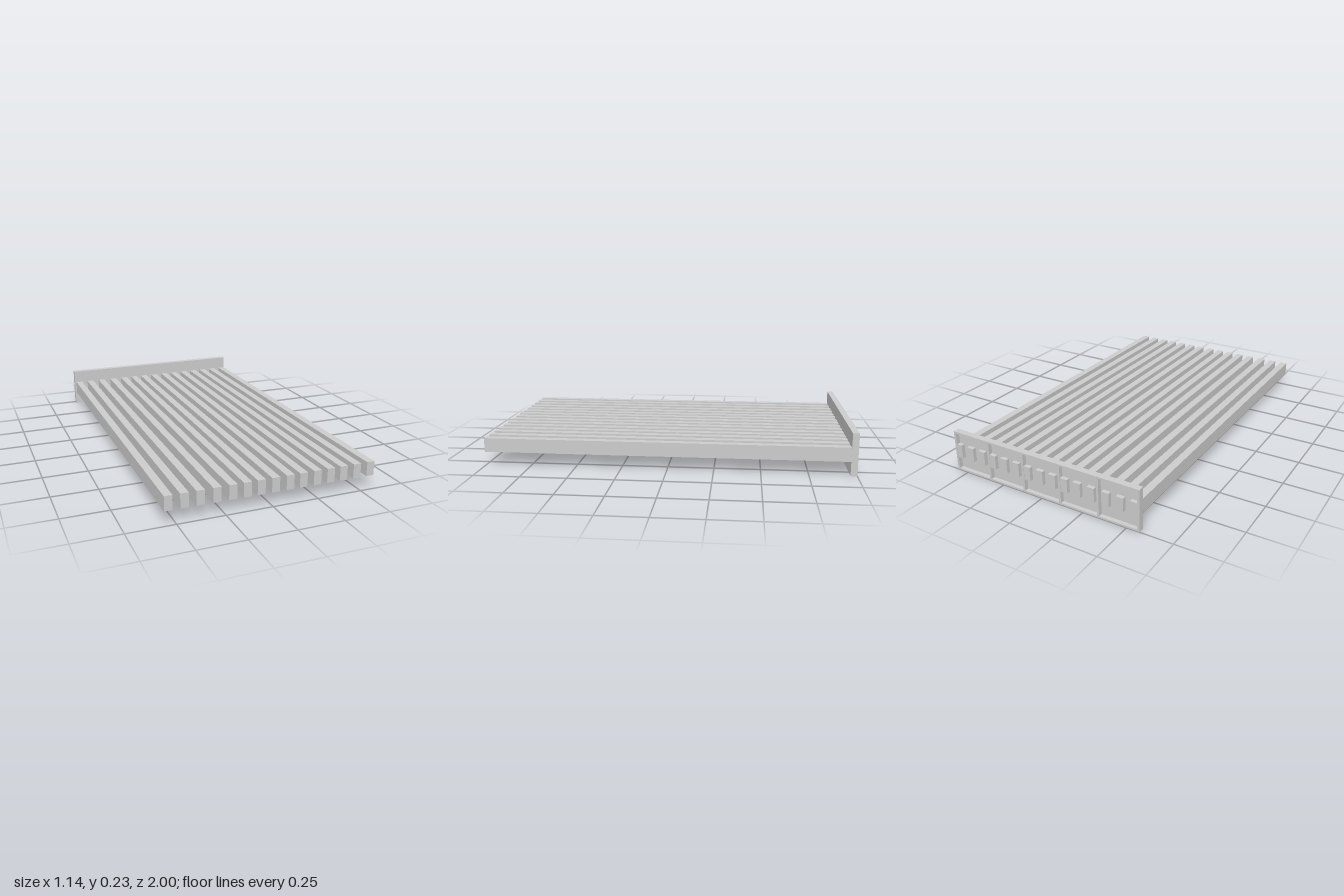
import * as THREE from 'three';

export function createModel() {
  const model = new THREE.Group();
  const material = new THREE.MeshStandardMaterial({ color: 0xcccccc, flatShading: true });

  // Box given by its lower and upper corner
  function box(name, parent, [x0, y0, z0], [x1, y1, z1]) {
    const mesh = new THREE.Mesh(new THREE.BoxGeometry(x1 - x0, y1 - y0, z1 - z0), material);
    mesh.position.set((x0 + x1) / 2, (y0 + y1) / 2, (z0 + z1) / 2);
    mesh.name = name;
    parent.add(mesh);
  }

  const W = 0.57, H = 0.23, back = -1, front = -0.965;
  const web = front - 0.012, rim = 0.01, rib = 0.012;

  // End plate: thin web with flanges and ribs open to the back
  const plate = new THREE.Group();
  plate.name = 'endPlate';
  model.add(plate);
  box('web', plate, [-W, 0, web], [W, H, front]);
  box('bottomFlange', plate, [-W, 0, back], [W, rim, web]);
  box('topFlange', plate, [-W, H - rim, back], [W, H, web]);
  for (let i = 0; i <= 5; i++) {
    const x = -W + rib / 2 + (i * (2 * W - rib)) / 5;
    box('rib', plate, [x - rib / 2, rim, back], [x + rib / 2, H - rim, web]);
  }

  // Long parallel bars passing through the plate, slightly unevenly spaced
  const bars = new THREE.Group();
  bars.name = 'bars';
  model.add(bars);
  const centres = [-0.539, -0.46, -0.38, -0.296, -0.215, -0.139, -0.066, 0.011,
    0.09, 0.163, 0.241, 0.317, 0.391, 0.469, 0.548];
  for (const x of centres) {
    box('bar', bars, [x - 0.021, 0.077, back + 0.002], [x + 0.021, 0.154, 1]);
  }
  return model;
}
